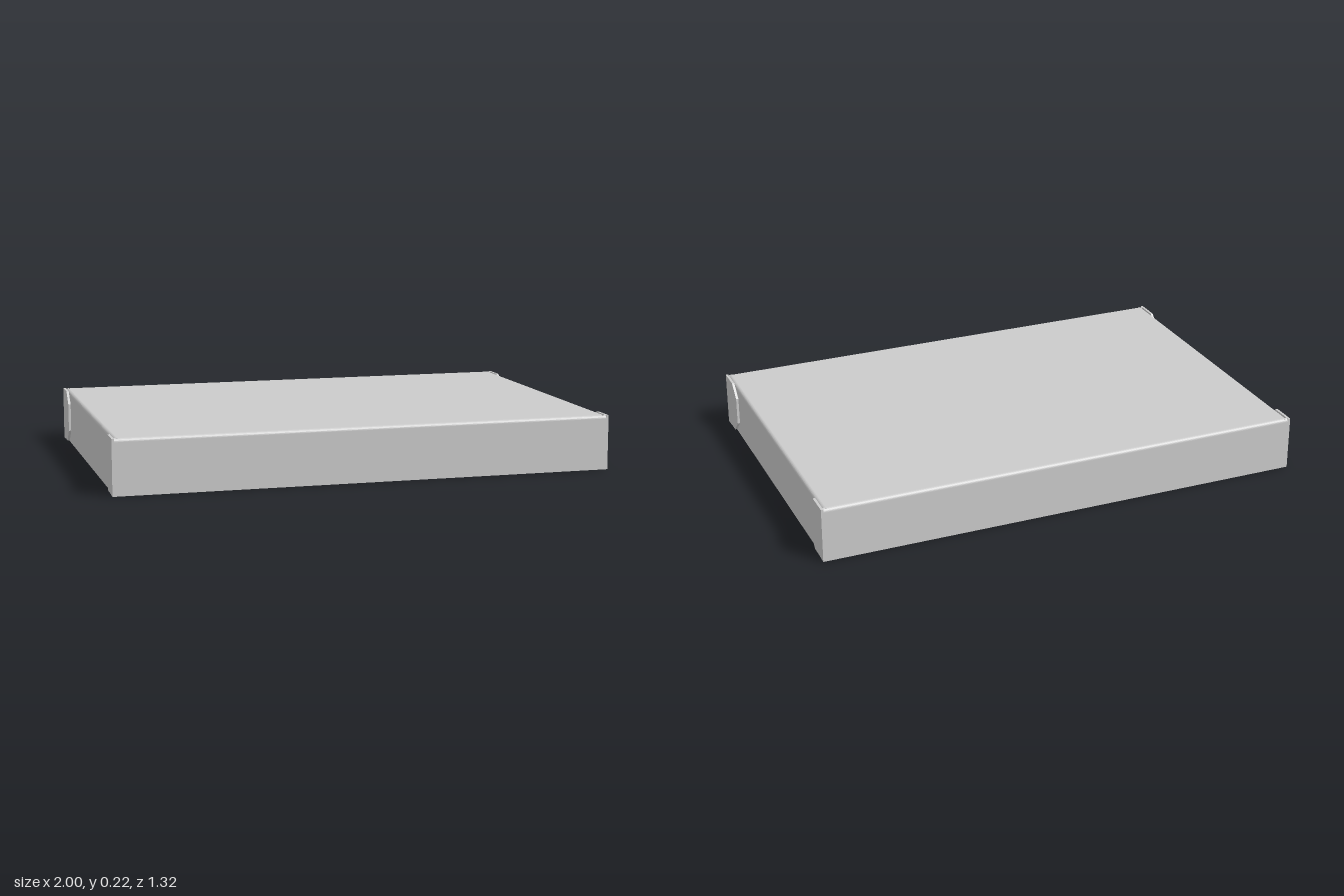
import * as THREE from 'three';

const W = 0.99, D = 0.66, H = 0.22;   // half width, half depth, height
const T = 0.006, R = 0.014;           // board thickness, fold radius

export function createModel() {
  const lid = new THREE.Group();
  lid.name = 'boxLid';
  const mat = new THREE.MeshStandardMaterial({ color: 0xcccccc });
  const add = (geometry, name) => {
    const mesh = new THREE.Mesh(geometry, mat);
    mesh.name = name;
    lid.add(mesh);
    return mesh;
  };

  // Flat top panel
  const panel = new THREE.BoxGeometry(2 * (W - R), T, 2 * (D - R));
  panel.translate(0, H - T / 2, 0);
  add(panel, 'topPanel');

  // Wall with the folded edge that joins it to the top panel; faces outward along +x
  const wall = (out, length) => {
    const s = new THREE.Shape();
    s.moveTo(out - T, 0);
    s.lineTo(out, 0);
    s.lineTo(out, H - R);
    s.absarc(out - R, H - R, R, 0, Math.PI / 2, false);
    s.lineTo(out - R, H - T);
    s.absarc(out - R, H - R, R - T, Math.PI / 2, 0, true);
    s.closePath();
    const g = new THREE.ExtrudeGeometry(s, { depth: length, bevelEnabled: false, curveSegments: 4 });
    return g.translate(0, 0, -length / 2);
  };
  ['leftWall', 'backWall', 'rightWall', 'frontWall'].forEach((name, i) => {
    const side = i % 2 === 0;
    const g = side ? wall(W, 2 * (D - T)) : wall(D, 2 * W);
    add(g, name).rotation.y = i * Math.PI / 2;
  });

  // Corner flaps, wrapped from the front and back walls over the side walls
  const flap = new THREE.Shape([
    [D, 0], [D, H], [0.56, H], [0.508, 0.17], [0.508, 0.055], [0.56, 0.004], [0.6, 0.004],
  ].map(([z, y]) => new THREE.Vector2(z, y)));
  const flapGeo = new THREE.ExtrudeGeometry(flap, { depth: 1 - W, bevelEnabled: false });
  flapGeo.translate(0, 0, -1).rotateY(-Math.PI / 2);
  for (const sx of [1, -1]) {
    for (const sz of [1, -1]) {
      const name = (sz > 0 ? 'front' : 'back') + (sx > 0 ? 'Left' : 'Right') + 'Flap';
      add(flapGeo, name).scale.set(sx, 1, sz);
    }
  }
  return lid;
}
